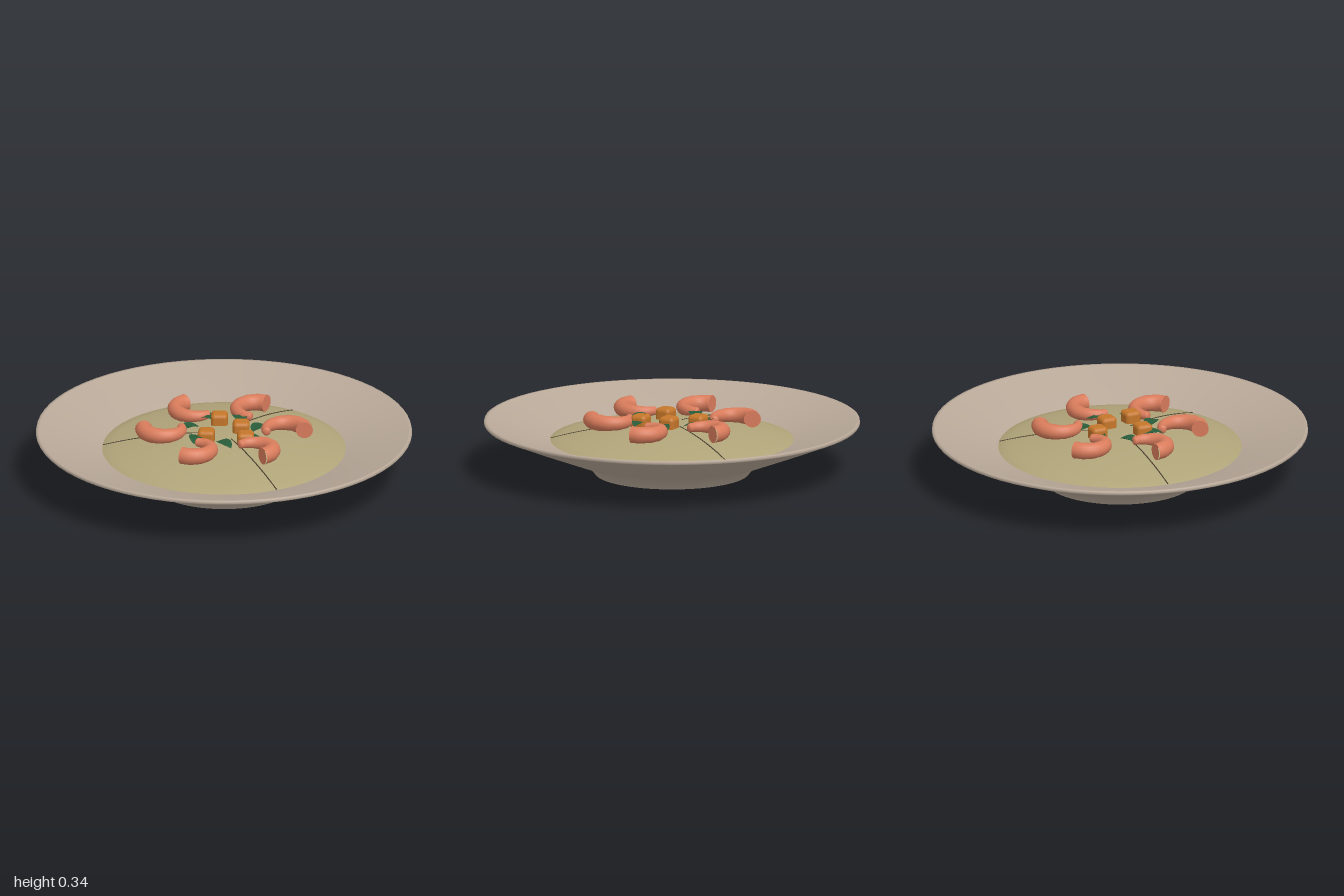
import * as THREE from 'three';
import { RoundedBoxGeometry } from 'three/addons/geometries/RoundedBoxGeometry.js';

const paint = (color, side = THREE.FrontSide) => new THREE.MeshStandardMaterial({ color, side });
const CLAY = paint(0xb8a898);
const MASH = paint(0xb0a479);
const SEAM = paint(0x4a4030);
const PRAWN = paint(0xd97c5c);
const CUBE = paint(0xc4762a);
const LEAF = paint(0x285c3a, THREE.DoubleSide);

function add(parent, name, geometry, material) {
  const mesh = new THREE.Mesh(geometry, material);
  mesh.name = name;
  parent.add(mesh);
  return mesh;
}

const lathe = (points, segments = 72) =>
  new THREE.LatheGeometry(points.map(([r, y]) => new THREE.Vector2(r, y)), segments);

// Height of the domed filling at a given radius
const DOME_R = 0.65;
const domeY = (r) => 0.18 + 0.09 * (1 - (r / DOME_R) ** 2);

// Separate lathes keep the edges between base, wall, rim and well crisp
function createPlate() {
  const plate = new THREE.Group();
  plate.name = 'plate';
  add(plate, 'plateBase', lathe([[0, 0], [0.41, 0]]), CLAY);
  add(plate, 'plateWall', lathe([[0.41, 0], [0.45, 0.05], [0.55, 0.088], [0.78, 0.178], [0.995, 0.265]]), CLAY);
  add(plate, 'plateRim', lathe([[0.995, 0.265], [1, 0.272], [0.998, 0.285], [0.985, 0.285]]), CLAY);
  add(plate, 'plateWell', lathe([[0.985, 0.285], [0.85, 0.244], [0.645, 0.18], [0.45, 0.1], [0, 0.08]]), CLAY);
  return plate;
}

// Shallow dome with three radial seams
function createFilling() {
  const filling = new THREE.Group();
  filling.name = 'filling';
  const profile = [[DOME_R, 0.165]];
  for (let i = 0; i <= 10; i++) {
    const r = DOME_R * (1 - i / 10);
    profile.push([r, domeY(r)]);
  }
  add(filling, 'fillingDome', lathe(profile), MASH);
  for (let k = 0; k < 3; k++) {
    const points = [0.09, 0.25, 0.4, 0.52, 0.645].map((r) => new THREE.Vector3(r, domeY(r) - 0.001, 0));
    const path = new THREE.CatmullRomCurve3(points);
    const seam = add(filling, 'fillingSeam', new THREE.TubeGeometry(path, 16, 0.004, 6), SEAM);
    seam.rotation.y = THREE.MathUtils.degToRad(58 + k * 120);
  }
  return filling;
}

// Curled, tapered body lying beside +x, thick end outermost
function createPrawn() {
  const prawn = new THREE.Group();
  prawn.name = 'prawn';
  const arc = [];
  for (let i = 0; i <= 12; i++) {
    const a = THREE.MathUtils.degToRad((195 * i) / 12);
    arc.push(new THREE.Vector3(0.325 + 0.102 * Math.cos(a), 0.29, -0.005 - 0.102 * Math.sin(a)));
  }
  const curve = new THREE.CatmullRomCurve3(arc);
  const steps = 42, sides = 16;
  const radius = (u) => 0.046 * (1 - 0.5 * u ** 1.8) * (1 - 0.035 * Math.sin(u * 7 * Math.PI) ** 2);
  const body = new THREE.TubeGeometry(curve, steps, 1, sides);
  const pos = body.attributes.position;
  const v = new THREE.Vector3();
  for (let i = 0; i <= steps; i++) {
    const centre = curve.getPointAt(i / steps);
    for (let j = 0; j <= sides; j++) {
      const n = i * (sides + 1) + j;
      v.fromBufferAttribute(pos, n).sub(centre).multiplyScalar(radius(i / steps)).add(centre);
      pos.setXYZ(n, v.x, v.y, v.z);
    }
  }
  add(prawn, 'prawnBody', body, PRAWN);
  add(prawn, 'prawnCutEnd', new THREE.CircleGeometry(radius(0), sides), PRAWN).position.copy(arc[0]);
  const tail = add(prawn, 'prawnTail', new THREE.SphereGeometry(radius(1), 14, 10), PRAWN);
  tail.position.copy(arc[12]);
  tail.scale.set(1, 1, 0.5);
  return prawn;
}

// Pointed leaf, cupped along its midrib
function leafGeometry() {
  const shape = new THREE.Shape();
  shape.moveTo(-0.06, 0);
  shape.bezierCurveTo(-0.035, 0.05, 0.025, 0.05, 0.06, 0);
  shape.bezierCurveTo(0.025, -0.05, -0.035, -0.05, -0.06, 0);
  const geometry = new THREE.ShapeGeometry(shape, 10).rotateX(-Math.PI / 2);
  const pos = geometry.attributes.position;
  for (let i = 0; i < pos.count; i++) {
    pos.setY(i, 0.35 * Math.abs(pos.getZ(i)) - 3 * pos.getX(i) ** 2);
  }
  geometry.computeVertexNormals();
  return geometry;
}

export function createModel() {
  const model = new THREE.Group();
  model.name = 'platedDish';
  model.add(createPlate(), createFilling());

  // Ring of six prawns
  for (let k = 0; k < 6; k++) {
    const prawn = createPrawn();
    prawn.rotation.y = THREE.MathUtils.degToRad(k * 60);
    model.add(prawn);
  }

  // Ring of seven leaves, each turned from its radius
  const leaf = leafGeometry();
  for (let k = 0; k < 7; k++) {
    const a = THREE.MathUtils.degToRad(15 + (k * 360) / 7);
    const mesh = add(model, 'leaf', leaf, LEAF);
    mesh.position.set(0.19 * Math.cos(a), 0.288, -0.19 * Math.sin(a));
    mesh.rotation.y = a + 0.7;
  }

  // Four rounded cubes in the middle
  const cube = new RoundedBoxGeometry(0.09, 0.085, 0.09, 3, 0.022);
  [[-0.03, -0.145, 0], [0.09, -0.035, 0.03], [-0.09, 0.09, -0.05], [0.12, 0.12, 0.04]].forEach(([x, z, turn]) => {
    const mesh = add(model, 'cube', cube, CUBE);
    mesh.position.set(x, 0.285, z);
    mesh.rotation.y = turn;
  });
  return model;
}
